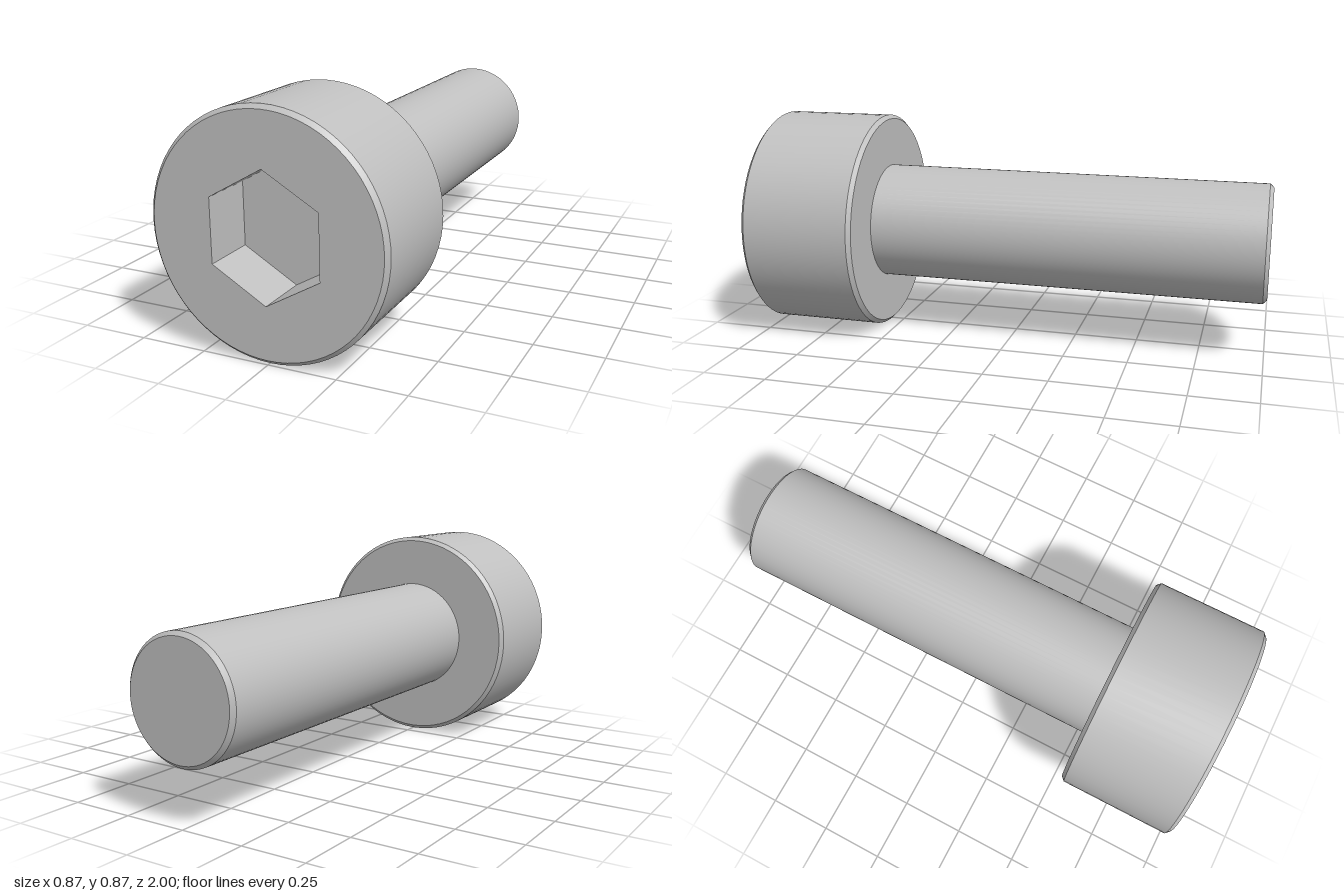
import * as THREE from 'three';
import { toCreasedNormals } from 'three/addons/utils/BufferGeometryUtils.js';

const HEAD_R = 0.436, SHANK_R = 0.23, SOCKET_R = 0.23;
const HEAD_BACK = 0.54, SOCKET_FLOOR = 0.8, BEVEL = 0.015, SIDES = 72;

const steel = new THREE.MeshStandardMaterial({ color: 0xc0c0c0 });
steel.name = 'steel';

// Turn a [radius, z] profile about the z axis, keeping hard edges sharp
function turned(name, profile, sides) {
  const points = profile.map(([r, z]) => new THREE.Vector2(r, z));
  const geometry = new THREE.LatheGeometry(points, sides).rotateX(Math.PI / 2);
  const mesh = new THREE.Mesh(toCreasedNormals(geometry, 0.5), steel);
  mesh.name = name;
  return mesh;
}

// Points of a regular polygon with a corner at the top
function polygon(radius, sides) {
  return Array.from({ length: sides }, (_, i) => {
    const a = Math.PI / 2 + (i / sides) * Math.PI * 2;
    return new THREE.Vector2(radius * Math.cos(a), radius * Math.sin(a));
  });
}

export function createModel() {
  const bolt = new THREE.Group();
  bolt.name = 'socketHeadBolt';

  // Shank with a chamfered tip
  bolt.add(turned('shank', [
    [0, -1], [SHANK_R - BEVEL, -1], [SHANK_R, -1 + BEVEL], [SHANK_R, HEAD_BACK],
  ], SIDES));

  // Head underside and rim, chamfered on both edges
  bolt.add(turned('head', [
    [SHANK_R, HEAD_BACK], [HEAD_R - BEVEL, HEAD_BACK], [HEAD_R, HEAD_BACK + BEVEL],
    [HEAD_R, 1 - BEVEL], [HEAD_R - BEVEL, 1],
  ], SIDES));

  // Flat front face with the hexagonal opening
  const outline = new THREE.Shape(polygon(HEAD_R - BEVEL, SIDES));
  outline.holes.push(new THREE.Path(polygon(SOCKET_R, 6)));
  const face = new THREE.Mesh(new THREE.ShapeGeometry(outline), steel);
  face.name = 'headFace';
  face.position.z = 1;
  bolt.add(face);

  // Hexagonal socket: inward walls and floor
  bolt.add(turned('hexSocket', [
    [SOCKET_R, 1], [SOCKET_R, SOCKET_FLOOR], [0, SOCKET_FLOOR],
  ], 6));

  bolt.position.y = HEAD_R;
  const model = new THREE.Group();
  model.add(bolt);
  return model;
}
